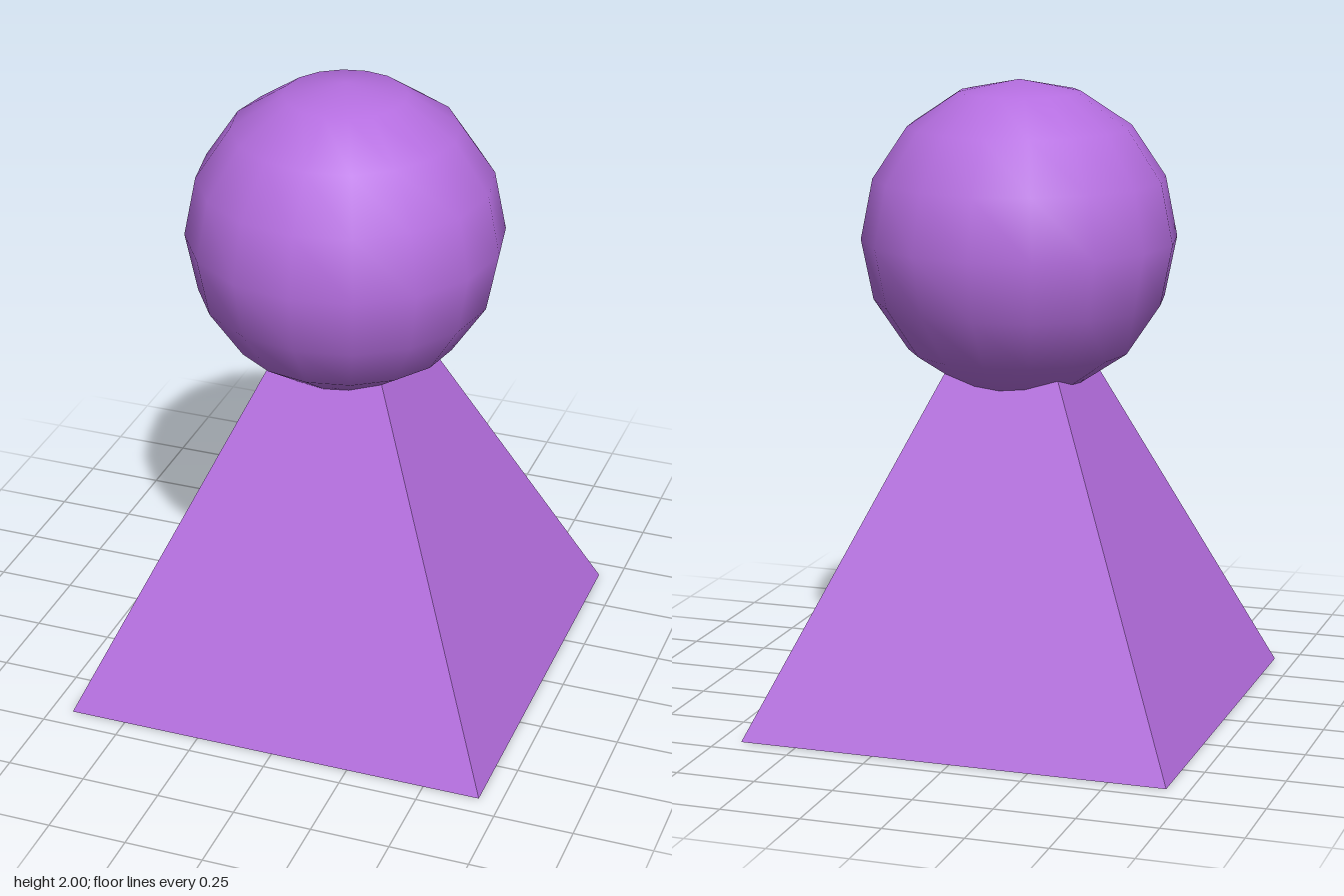
import * as THREE from 'three';

export function createModel() {
  const model = new THREE.Group();
  const purple = 0xb56ee0;
  const half = 0.68, apex = 1.505, radius = 0.495;

  // Square pyramid body, its tip hidden at the centre of the head
  const bodyGeometry = new THREE.ConeGeometry(half * Math.SQRT2, apex, 4);
  bodyGeometry.rotateY(Math.PI / 4);
  const body = new THREE.Mesh(
    bodyGeometry,
    new THREE.MeshStandardMaterial({ color: purple, flatShading: true })
  );
  body.name = 'pyramidBody';
  body.position.y = apex / 2;

  // Smooth-shaded, low-segment ball head
  const head = new THREE.Mesh(
    new THREE.SphereGeometry(radius, 16, 8),
    new THREE.MeshStandardMaterial({ color: purple })
  );
  head.name = 'ballHead';
  head.position.y = apex;

  model.add(body, head);
  return model;
}
